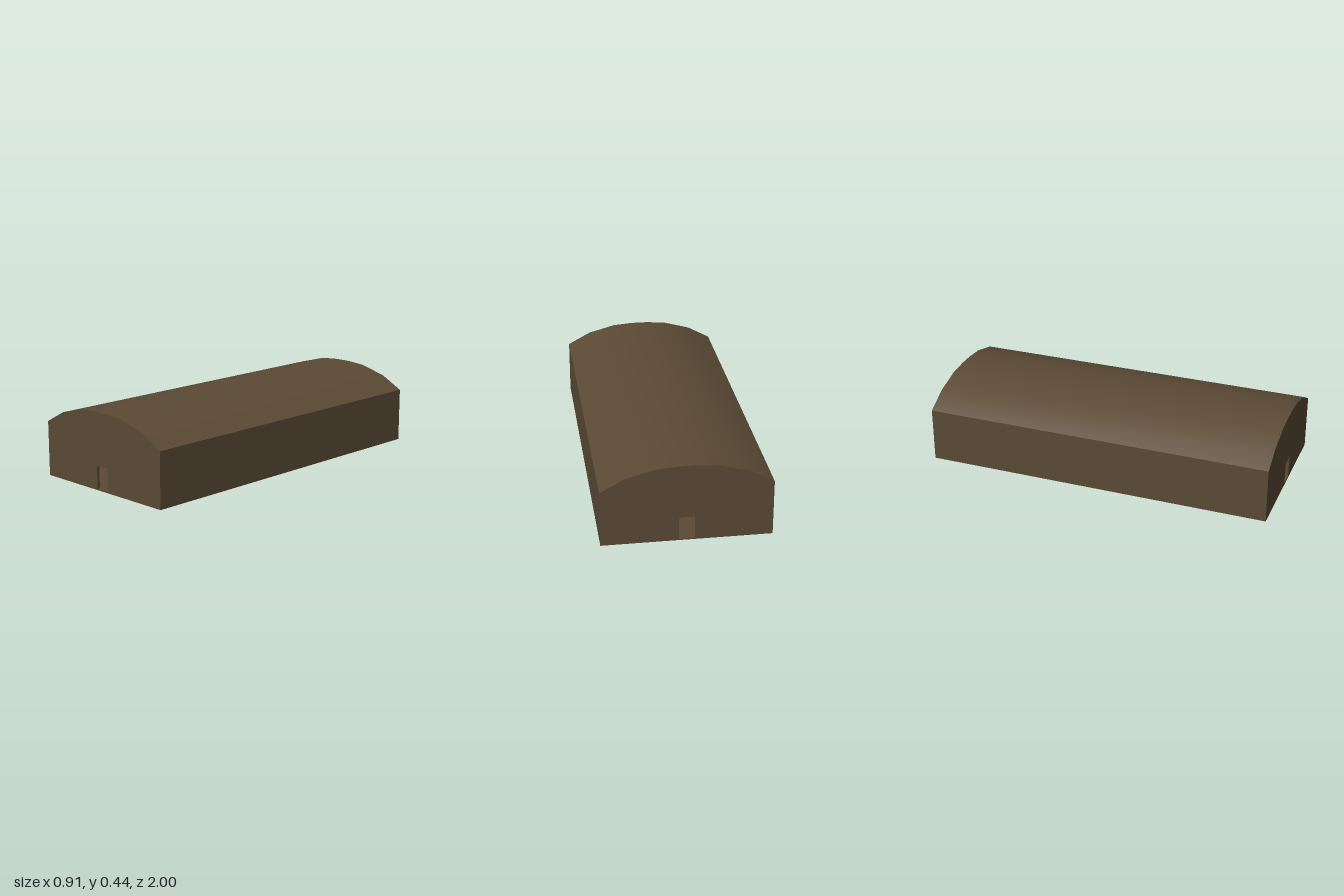
import * as THREE from 'three';
import { toCreasedNormals } from 'three/addons/utils/BufferGeometryUtils.js';

const LENGTH = 2, WALL = 0.016, FLOOR = 0.006;

// Right half of the section, from the base up to the crown
const OUTER = [[0.457, 0], [0.457, 0.312], [0.323, 0.384], [0.163, 0.427], [0.05, 0.436]];
const INNER = [[0.441, FLOOR], [0.441, 0.303], [0.317, 0.368], [0.16, 0.411], [0.05, 0.42]];

// Mirrors a half section into a closed outline
function outline(half) {
  const mirrored = half.map(([x, y]) => [-x, y]).reverse();
  return [...half, ...mirrored].map(([x, y]) => new THREE.Vector2(x, y));
}

// Extrudes a shape along z, smooth over the roof and sharp at the eaves
function extrude(shape, depth) {
  const geometry = new THREE.ExtrudeGeometry(shape, { depth, bevelEnabled: false });
  geometry.translate(0, 0, -depth / 2);
  return toCreasedNormals(geometry, Math.PI / 6);
}

export function createModel() {
  const model = new THREE.Group();
  model.name = 'vaultedHall';
  const material = new THREE.MeshStandardMaterial({ color: 0x5b4a35 });

  function add(name, geometry, z = 0) {
    const mesh = new THREE.Mesh(geometry, material);
    mesh.name = name;
    mesh.position.z = z;
    model.add(mesh);
  }

  // Hollow body: floor, side walls and vaulted roof
  const body = new THREE.Shape(outline(OUTER));
  body.holes.push(new THREE.Path(outline(INNER)));
  add('hallBody', extrude(body, LENGTH - 2 * WALL));

  // End walls, each with an open doorway above the floor slab
  const end = new THREE.Shape(outline(OUTER));
  end.holes.push(new THREE.Path(outline([[0.043, FLOOR], [0.043, 0.136]])));
  const endGeometry = extrude(end, WALL);
  add('frontWall', endGeometry, (LENGTH - WALL) / 2);
  add('backWall', endGeometry, -(LENGTH - WALL) / 2);

  return model;
}
